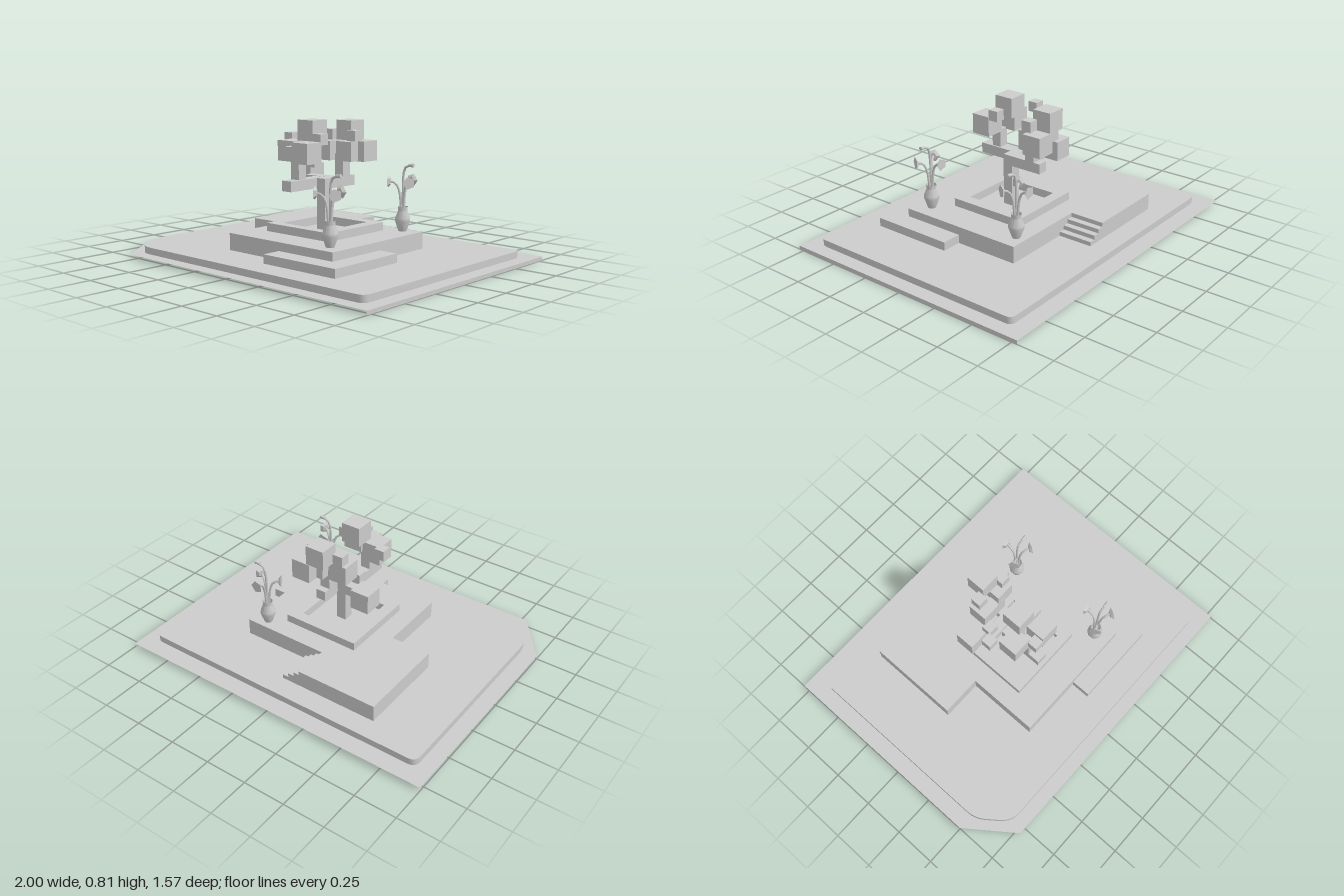
import * as THREE from 'three';
import { toCreasedNormals } from 'three/addons/utils/BufferGeometryUtils.js';

const stone = new THREE.MeshStandardMaterial({ color: 0xcccccc });
const sheet = new THREE.MeshStandardMaterial({ color: 0xcccccc, side: THREE.DoubleSide });

function add(parent, name, geometry, material = stone) {
  const mesh = new THREE.Mesh(geometry, material);
  mesh.name = name;
  parent.add(mesh);
  return mesh;
}

// Box given by its limits on each axis
function box(parent, name, x0, x1, y0, y1, z0, z1) {
  const mesh = add(parent, name, new THREE.BoxGeometry(x1 - x0, y1 - y0, z1 - z0));
  mesh.position.set((x0 + x1) / 2, (y0 + y1) / 2, (z0 + z1) / 2);
  return mesh;
}

// Plan outline from [x, z] corners
const outline = (pts) => new THREE.Shape(pts.map(([x, z]) => new THREE.Vector2(x, z)));

// Rounds every corner of a plan outline by the given distances
function roundedOutline(corners) {
  const shape = new THREE.Shape();
  corners.forEach(([x, z, r], i) => {
    const here = new THREE.Vector2(x, z);
    const toward = (c) => new THREE.Vector2(c[0], c[1]).sub(here).setLength(r).add(here);
    const a = toward(corners[(i + corners.length - 1) % corners.length]);
    const b = toward(corners[(i + 1) % corners.length]);
    if (i) shape.lineTo(a.x, a.y); else shape.moveTo(a.x, a.y);
    shape.quadraticCurveTo(x, z, b.x, b.y);
  });
  shape.closePath();
  return shape;
}

// Flat sheet lying at height y
const flat = (shape, y) => new THREE.ShapeGeometry(shape, 6).rotateX(Math.PI / 2).translate(0, y, 0);

// Solid slab between two heights
const slab = (shape, y0, y1) => new THREE.ExtrudeGeometry(shape, { depth: y1 - y0, bevelEnabled: false })
  .rotateX(Math.PI / 2).translate(0, y1, 0);

// Open band of wall following an outline
function wall(shape, y0, y1) {
  const pts = shape.getPoints(6), pos = [];
  pts.forEach((p, i) => {
    const q = pts[(i + 1) % pts.length];
    if (p.distanceTo(q) < 1e-6) return;
    pos.push(p.x, y0, p.y, p.x, y1, p.y, q.x, y1, q.y, p.x, y0, p.y, q.x, y1, q.y, q.x, y0, q.y);
  });
  const g = new THREE.BufferGeometry();
  g.setAttribute('position', new THREE.Float32BufferAttribute(pos, 3));
  return toCreasedNormals(g, 0.6);
}

function buildGround(root) {
  const ground = new THREE.Group();
  ground.name = 'ground';
  root.add(ground);
  const plan = [[-0.905, -0.68, 0.05], [0.915, -0.68, 0.04], [0.915, 0.7, 0.05],
    [-0.775, 0.7, 0.07], [-0.905, 0.53, 0.06]];
  const terrace = roundedOutline(plan);
  const border = outline([[-1, -0.785], [1, -0.785], [1, 0.78], [-0.79, 0.78], [-1, 0.5]]);
  border.holes.push(roundedOutline(plan));
  add(ground, 'border', flat(border, 0.022), sheet);
  add(ground, 'terraceTop', flat(terrace, 0.062), sheet);
  add(ground, 'terraceWall', wall(terrace, 0.022, 0.062), sheet);
  const lip = add(ground, 'borderLip', new THREE.PlaneGeometry(1.565, 0.022).rotateY(Math.PI / 2), sheet);
  lip.position.set(1, 0.011, 0);
}

function buildPlatform(root) {
  const platform = new THREE.Group();
  platform.name = 'platform';
  root.add(platform);
  add(platform, 'mainPlatform', slab(outline([[-0.56, -0.555], [-0.06, -0.555], [-0.06, -0.345],
    [0.475, -0.345], [0.475, 0.43], [-0.315, 0.43], [-0.315, 0], [-0.56, 0]]), 0.062, 0.162));
  box(platform, 'lowPlatform', 0.08, 0.595, 0.062, 0.113, 0.045, 0.545);
  // Stairs going down toward the left side
  for (let i = 0; i < 3; i++) {
    const x = -0.06 + i * 0.038;
    box(platform, 'stair', x, x + 0.038, 0.062, 0.137 - i * 0.025, -0.555, -0.345);
  }
  // Square planter rim with a sunken bed
  const rim = outline([[-0.2, -0.225], [0.28, -0.225], [0.28, 0.245], [-0.2, 0.245]]);
  rim.holes.push(outline([[-0.13, -0.16], [0.21, -0.16], [0.21, 0.185], [-0.13, 0.185]]));
  add(platform, 'planterRim', slab(rim, 0.162, 0.21));
}

function buildTree(root) {
  const tree = new THREE.Group();
  tree.name = 'tree';
  root.add(tree);
  box(tree, 'trunk', 0.01, 0.072, 0.162, 0.47, -0.015, 0.047);
  box(tree, 'frontBranch', -0.06, 0.01, 0.41, 0.47, -0.015, 0.26);
  box(tree, 'backBranch', 0.01, 0.072, 0.41, 0.47, -0.21, -0.015);
  box(tree, 'sideBranch', -0.15, 0.01, 0.41, 0.47, -0.09, -0.02);
  box(tree, 'frontUpright', -0.06, 0, 0.47, 0.58, 0.128, 0.187);
  box(tree, 'backUpright', 0.01, 0.072, 0.47, 0.6, -0.17, -0.107);
  // Foliage cubes: centre and edge length
  const foliage = [
    [-0.2, 0.47, -0.12, 0.116], [-0.01, 0.746, 0.065, 0.118], [0.055, 0.628, 0.18, 0.118],
    [-0.11, 0.628, 0.125, 0.118], [0.022, 0.732, -0.228, 0.116], [0.118, 0.615, -0.23, 0.118],
    [-0.065, 0.615, -0.14, 0.114], [0.075, 0.615, -0.165, 0.114],
    [-0.207, 0.69, 0.03, 0.06], [0.078, 0.7, 0.094, 0.062], [-0.032, 0.63, 0.21, 0.062],
    [-0.07, 0.705, -0.17, 0.062], [0.108, 0.705, -0.165, 0.062], [-0.11, 0.545, -0.06, 0.06],
  ];
  for (const [x, y, z, s] of foliage) {
    const h = s / 2;
    box(tree, 'foliage', x - h, x + h, y - h, y + h, z - h, z + h);
  }
}

function buildVase(z) {
  const vase = new THREE.Group();
  vase.name = 'flowerVase';
  vase.position.set(0.375, 0.162, z);
  const profile = [[0, 0], [0.024, 0], [0.045, 0.06], [0.045, 0.075], [0.028, 0.118], [0.03, 0.143]]
    .map(([r, y]) => new THREE.Vector2(r, y));
  add(vase, 'vase', toCreasedNormals(new THREE.LatheGeometry(profile, 10), 0.7), sheet);
  const stem = (parent, pts, r) => add(parent, 'stem', new THREE.TubeGeometry(
    new THREE.CatmullRomCurve3(pts.map(([x, y]) => new THREE.Vector3(x, y, 0))), 12, r, 6), sheet);

  // Three flowers spread evenly round the vase
  for (let i = 0; i < 3; i++) {
    const flower = new THREE.Group();
    flower.name = 'flower';
    flower.rotation.y = Math.PI / 2 + (i * 2 * Math.PI) / 3;
    stem(flower, [[0.008, 0.02], [0.013, 0.17], [0.025, 0.245], [0.045, 0.278], [0.078, 0.288]], 0.007);
    const head = add(flower, 'blossom', new THREE.CylinderGeometry(0.038, 0.022, 0.014, 5).toNonIndexed());
    head.geometry.computeVertexNormals();
    head.rotation.z = -Math.PI / 2;
    head.position.set(0.08, 0.288, 0);
    vase.add(flower);
  }

  // Tall bud bending to the side
  stem(vase, [[0, 0.02], [0, 0.2], [0.003, 0.33], [0.015, 0.37], [0.045, 0.383]], 0.007);
  const bud = add(vase, 'bud', new THREE.CylinderGeometry(0.011, 0.009, 0.035, 8));
  bud.rotation.z = -Math.PI / 2 + 0.1;
  bud.position.set(0.058, 0.385, 0);
  return vase;
}

export function createModel() {
  const root = new THREE.Group();
  root.name = 'treeCourtyard';
  buildGround(root);
  buildPlatform(root);
  buildTree(root);
  for (const z of [-0.285, 0.338]) root.add(buildVase(z));
  return root;
}
